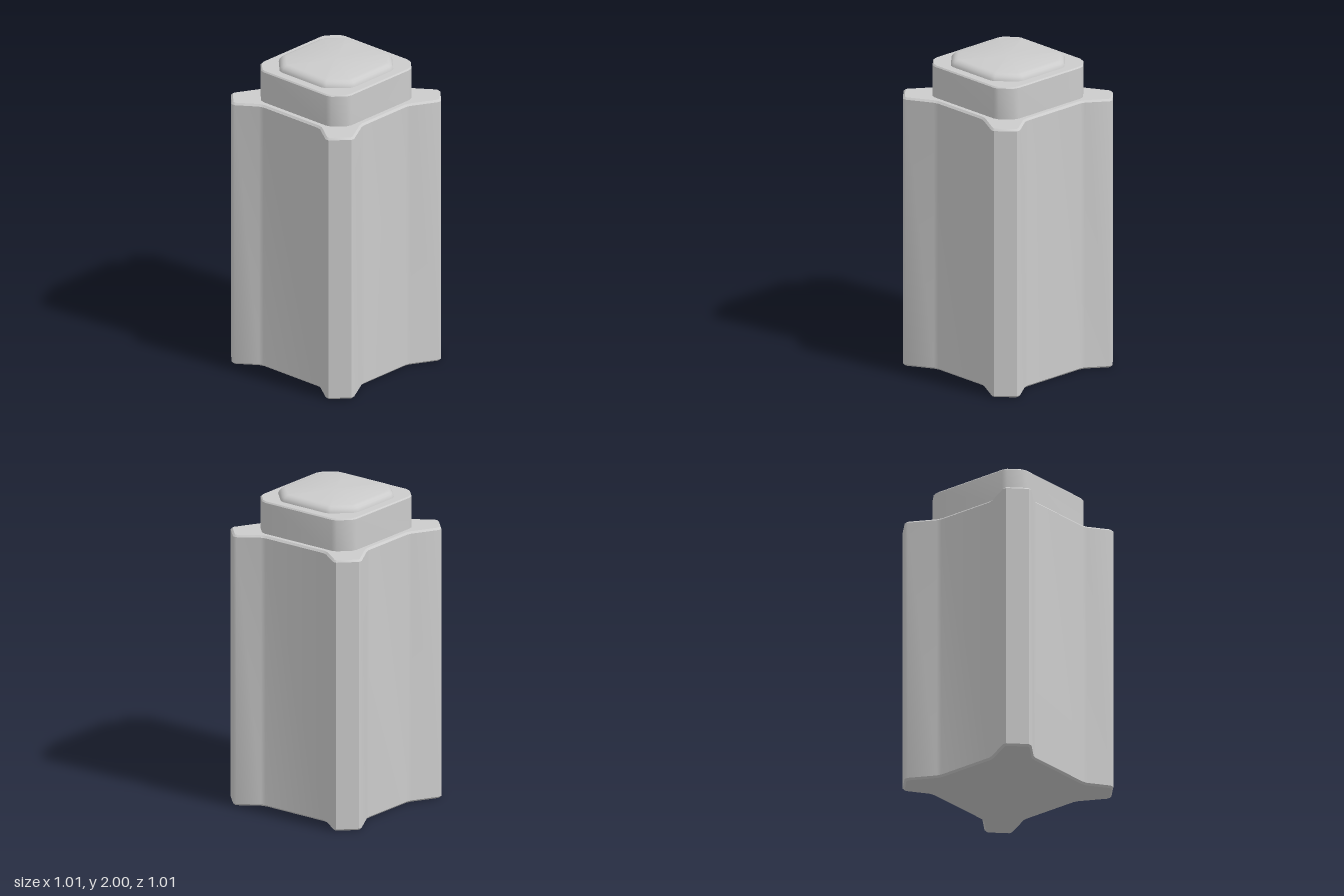
import * as THREE from 'three';
import { toCreasedNormals } from 'three/addons/utils/BufferGeometryUtils.js';

// Mirror one quadrant of an outline (from +x round to +z) into a closed loop
function mirrorQuadrant(q) {
  const flip = (sx, sz) => q.map(([x, z]) => [sx * x, sz * z]);
  return [...q, ...flip(-1, 1).reverse(), ...flip(-1, -1), ...flip(1, -1).reverse()];
}

// Move every edge of the loop inwards by d
function inset(loop, d) {
  const n = loop.length;
  const normal = (a, b) => new THREE.Vector2(b[1] - a[1], a[0] - b[0]).normalize();
  return loop.map((p, i) => {
    const n1 = normal(loop[(i + n - 1) % n], p);
    const n2 = normal(p, loop[(i + 1) % n]);
    const k = d / (1 + n1.dot(n2));
    return [p[0] - (n1.x + n2.x) * k, p[1] - (n1.y + n2.y) * k];
  });
}

// Closed solid through the levels [y, inset], bottom to top
function bevelledPrism(name, quadrant, levels, crease, material) {
  const loop = mirrorQuadrant(quadrant);
  const n = loop.length;
  const pos = [], index = [];
  for (const [y, d] of levels) for (const [x, z] of inset(loop, d)) pos.push(x, y, z);
  const last = (levels.length - 1) * n;
  const bottom = levels.length * n, top = bottom + 1;
  pos.push(0, levels[0][0], 0, 0, levels[levels.length - 1][0], 0);
  for (let i = 0; i < n; i++) {
    const j = (i + 1) % n;
    for (let r = 0; r < last; r += n) {
      index.push(r + i, r + n + i, r + n + j, r + i, r + n + j, r + j);
    }
    index.push(bottom, i, j, top, last + j, last + i);
  }
  const geometry = new THREE.BufferGeometry();
  geometry.setAttribute('position', new THREE.Float32BufferAttribute(pos, 3));
  geometry.setIndex(index);
  const mesh = new THREE.Mesh(toCreasedNormals(geometry, crease), material);
  mesh.name = name;
  return mesh;
}

export function createModel() {
  const group = new THREE.Group();
  group.name = 'corneredPillar';
  const grey = new THREE.MeshStandardMaterial({ color: 0xcccccc });

  // Tall body with four flared corner ribs
  group.add(bevelledPrism('body', [
    [0.41, 0.19], [0.418, 0.22], [0.505, 0.38], [0.505, 0.405],
    [0.405, 0.505], [0.38, 0.505], [0.255, 0.418], [0.225, 0.41],
  ], [[0, 0.012], [0.012, 0], [1.74, 0], [1.752, 0.012]], 0.75, grey));

  // Collar block on top of the body
  group.add(bevelledPrism('collar', [
    [0.37, 0.26], [0.36, 0.293], [0.293, 0.36], [0.26, 0.37],
  ], [[1.74, 0], [1.952, 0], [1.96, 0.008]], 0.75, grey));

  // Soft-edged cap plate
  group.add(bevelledPrism('capPlate', [
    [0.31, 0.165], [0.3, 0.195], [0.195, 0.3], [0.165, 0.31],
  ], [[1.955, 0], [1.97, 0.003], [1.984, 0.012], [1.995, 0.027], [2, 0.045]], 0.75, grey));

  return group;
}
